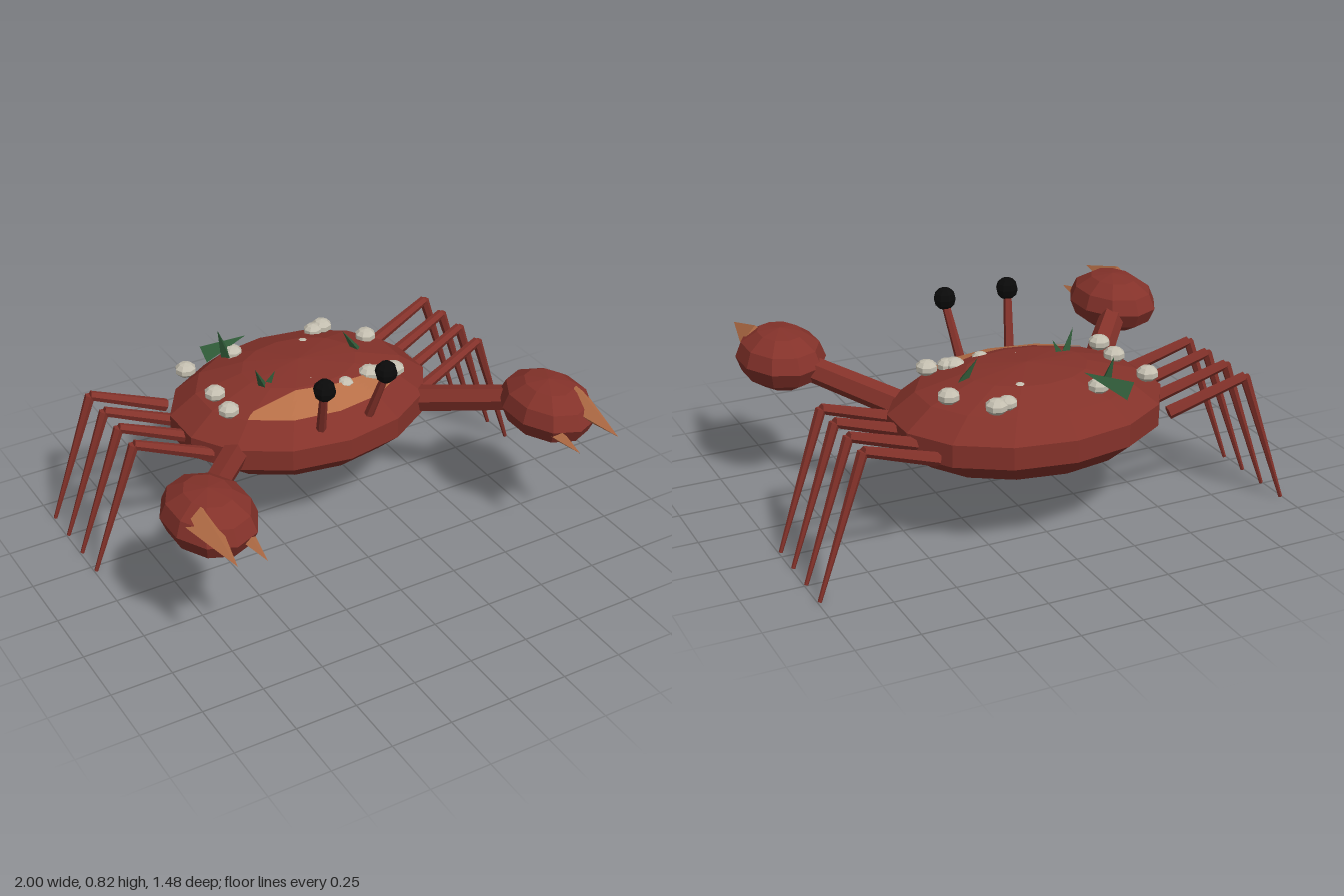
import * as THREE from 'three';

const mat = (name, color, extra = {}) => {
  const m = new THREE.MeshStandardMaterial({ color, flatShading: true, ...extra });
  m.name = name;
  return m;
};

export function createModel() {
  const red = mat('shell red', 0x84322a);
  const tan = mat('tan', 0xb87048, { side: THREE.DoubleSide });
  const white = mat('barnacle white', 0xc4bfb0);
  const green = mat('seaweed green', 0x2f5a38);
  const black = mat('eye black', 0x0a0a0a);
  const model = new THREE.Group();
  model.name = 'crab';

  const add = (name, geometry, material) => {
    const mesh = new THREE.Mesh(geometry, material);
    mesh.name = name;
    model.add(mesh);
    return mesh;
  };

  // Faceted ellipsoid with a corner facing front and back
  const ellipsoid = (name, material, [x, y, z], [rx, ry, rz], around, rings) =>
    add(name, new THREE.SphereGeometry(1, around, rings).rotateY(Math.PI / 2)
      .scale(rx, ry, rz).translate(x, y, z), material);

  // Tapered rod or spike between two points
  const rod = (name, material, from, to, r0, r1, sides) => {
    const a = new THREE.Vector3(...from), b = new THREE.Vector3(...to);
    const dir = b.clone().sub(a);
    const g = new THREE.CylinderGeometry(r1, r0, dir.length(), sides);
    g.applyQuaternion(new THREE.Quaternion().setFromUnitVectors(
      new THREE.Vector3(0, 1, 0), dir.clone().normalize()));
    g.translate(...a.add(b).multiplyScalar(0.5).toArray());
    return add(name, g, material);
  };

  // Shell
  const body = ellipsoid('shell', red, [0, 0.446, -0.315], [0.573, 0.202, 0.44], 14, 7);

  // Tan crescent laid on the front of the shell
  const lerpLine = (pts, x) => {
    const i = Math.max(1, pts.findIndex((p) => p[0] >= x - 1e-6));
    const [x0, z0] = pts[i - 1], [x1, z1] = pts[i];
    return z0 + (z1 - z0) * (x - x0) / (x1 - x0);
  };
  const back = [[-0.35, -0.10], [-0.32, -0.125], [-0.12, -0.13], [0, -0.105],
    [0.09, -0.10], [0.25, -0.13], [0.35, -0.10]];
  const front = [[-0.35, -0.10], [-0.195, -0.005], [0, 0.026], [0.195, -0.005], [0.35, -0.10]];
  const ray = new THREE.Raycaster();
  const down = new THREE.Vector3(0, -1, 0);
  const cols = 36, rows = 6;
  const patch = new THREE.PlaneGeometry(1, 1, cols, rows);
  const pos = patch.attributes.position;
  for (let j = 0, k = 0; j <= rows; j++) {
    for (let i = 0; i <= cols; i++, k++) {
      const x = -0.35 + 0.7 * i / cols;
      const z = THREE.MathUtils.lerp(lerpLine(back, x), lerpLine(front, x), j / rows);
      ray.set(new THREE.Vector3(x, 2, z), down);
      const hit = ray.intersectObject(body)[0];
      pos.setXYZ(k, x, (hit ? hit.point.y : 0.57) + 0.006, z);
    }
  }
  patch.computeVertexNormals();
  add('shellPatch', patch, tan);

  for (const s of [1, -1]) {
    const side = s > 0 ? 'left' : 'right';

    // Eyes on stalks
    rod(side + 'EyeStalk', red, [s * 0.11, 0.55, 0.062], [s * 0.14, 0.77, 0.14], 0.02, 0.016, 6);
    ellipsoid(side + 'Eye', black, [s * 0.138, 0.777, 0.14], [0.046, 0.046, 0.046], 8, 6);

    // Claw arm, claw and pincers
    rod(side + 'Arm', red, [s * 0.42, 0.45, -0.085], [s * 0.7, 0.545, 0.25], 0.057, 0.052, 6);
    ellipsoid(side + 'Claw', red, [s * 0.758, 0.555, 0.368], [0.175, 0.122, 0.232], 10, 6);
    rod(side + 'OuterPincer', tan, [s * 0.83, 0.602, 0.45], [s * 0.83, 0.585, 0.738], 0.066, 0, 4);
    rod(side + 'InnerPincer', tan, [s * 0.688, 0.535, 0.44], [s * 0.688, 0.528, 0.692], 0.05, 0, 4);

    // Four walking legs
    for (let i = 0; i < 4; i++) {
      const z = -0.147 - i * 0.14;
      const knee = [s * 0.8, 0.555, z - 0.05];
      rod(side + 'UpperLeg' + (i + 1), red, [s * 0.49, 0.44, z], knee, 0.027, 0.02, 6);
      rod(side + 'LowerLeg' + (i + 1), red, knee, [s * 0.992, 0.003, z - 0.07], 0.021, 0.008, 6);
    }
  }

  // Barnacles: x, z, radius
  [[-0.41, -0.53, 0.045], [-0.18, -0.56, 0.043], [-0.39, -0.305, 0.045], [-0.40, -0.165, 0.045],
    [0.20, -0.555, 0.04], [0.25, -0.568, 0.045], [0.37, -0.405, 0.045], [0.10, -0.11, 0.036],
    [0.225, -0.135, 0.045], [0.25, -0.122, 0.04], [0.33, -0.11, 0.045],
    [0.10, -0.46, 0.04], [-0.02, -0.18, 0.04],
  ].forEach(([x, z, r], i) =>
    ellipsoid('barnacle' + (i + 1), white, [x, 0.606, z], [r, r * 0.7, r], 8, 5));

  // Seaweed blades: base, tip, radius
  [[[-0.28, 0.59, -0.62], [-0.12, 0.67, -0.555], 0.042],
    [[-0.21, 0.60, -0.55], [-0.24, 0.72, -0.57], 0.026],
    [[-0.20, 0.60, -0.235], [-0.25, 0.715, -0.22], 0.025],
    [[-0.19, 0.60, -0.24], [-0.155, 0.68, -0.23], 0.022],
    [[0.285, 0.59, -0.305], [0.215, 0.705, -0.33], 0.026],
  ].forEach(([from, to, r], i) => rod('seaweed' + (i + 1), green, from, to, r, 0, 3));

  return model;
}
